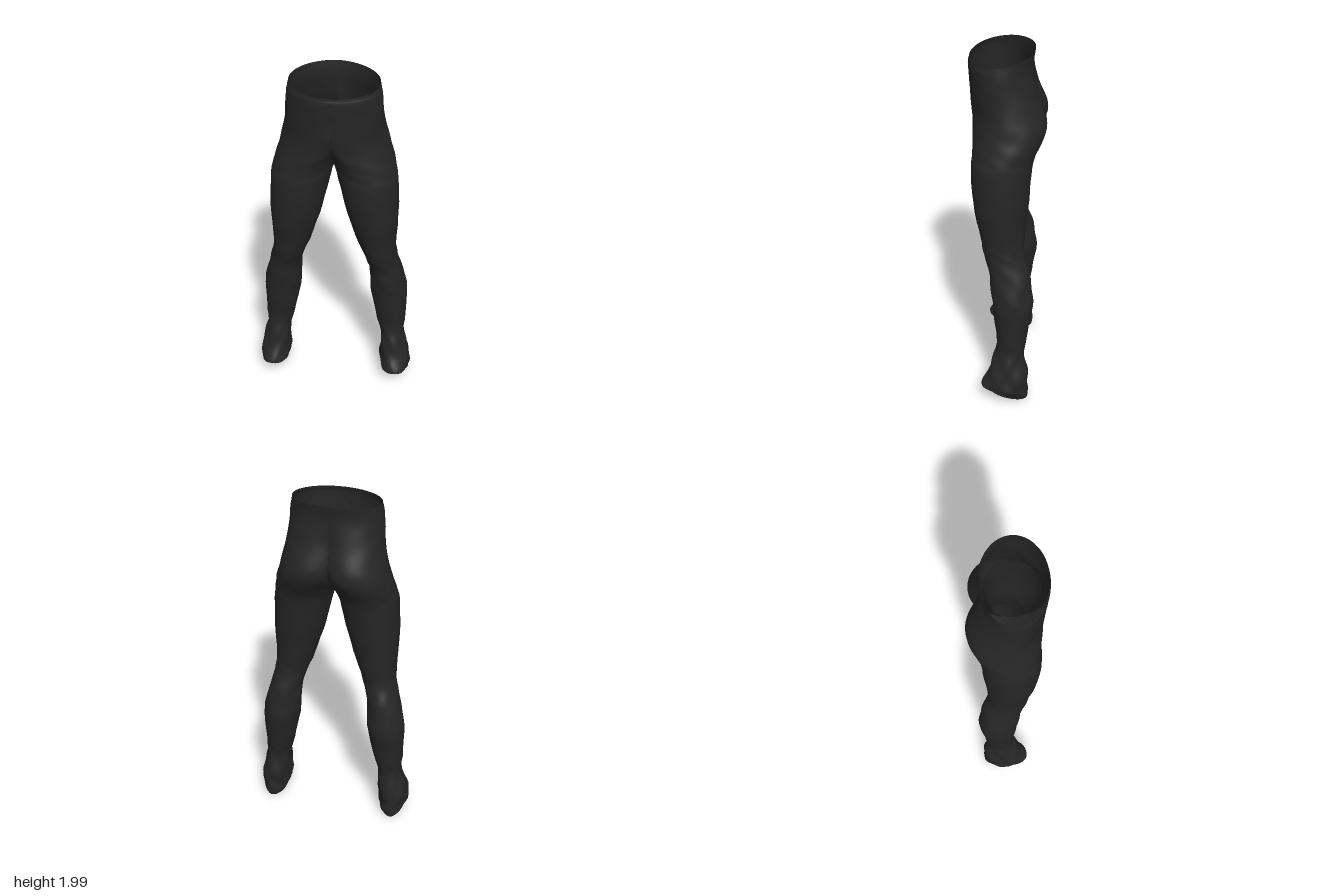
import * as THREE from 'three';
import { mergeGeometries, mergeVertices } from 'three/addons/utils/BufferGeometryUtils.js';

// Cross-sections of one half, waist to sole: [y, outer x, inner x, front z, back z]
// An inner x below zero means the two halves fuse at the middle plane.
const SECTIONS = [
  [2.00, 0.238, -0.24, 0.205, -0.143],
  [1.92, 0.248, -0.22, 0.210, -0.135],
  [1.80, 0.258, -0.11, 0.205, -0.152],
  [1.70, 0.272, -0.08, 0.196, -0.190],
  [1.64, 0.287, -0.07, 0.190, -0.206],
  [1.58, 0.302, -0.05, 0.186, -0.204],
  [1.52, 0.320, -0.02, 0.181, -0.180],
  [1.46, 0.334, 0.006, 0.184, -0.150],
  [1.40, 0.345, 0.022, 0.190, -0.136],
  [1.20, 0.353, 0.068, 0.179, -0.120],
  [1.00, 0.345, 0.128, 0.140, -0.100],
  [0.90, 0.351, 0.165, 0.118, -0.103],
  [0.80, 0.375, 0.194, 0.092, -0.130],
  [0.70, 0.400, 0.200, 0.080, -0.146],
  [0.60, 0.415, 0.206, 0.070, -0.150],
  [0.40, 0.410, 0.246, 0.050, -0.118],
  [0.32, 0.406, 0.268, 0.054, -0.110],
  [0.25, 0.420, 0.274, 0.078, -0.114],
  [0.17, 0.440, 0.270, 0.102, -0.128],
  [0.10, 0.448, 0.276, 0.132, -0.130],
  [0.04, 0.440, 0.286, 0.118, -0.130],
  [0.007, 0.428, 0.296, 0.095, -0.115],
];
const COLS = 72;
const SUB = 4;
const { smoothstep, clamp } = THREE.MathUtils;

// Smooth interpolation between neighbouring sections
function sectionAt(u) {
  const last = SECTIONS.length - 1;
  const i = Math.min(Math.floor(u), last - 1);
  const t = u - i;
  const [p, a, b, n] = [i - 1, i, i + 1, i + 2].map((k) => SECTIONS[clamp(k, 0, last)]);
  return a.map((v, k) => v + 0.5 * t * (b[k] - p[k] +
    t * (2 * p[k] - 5 * v + 4 * b[k] - n[k] + t * (3 * (v - b[k]) + n[k] - p[k]))));
}

// Cloth wrinkles: faint on the thigh, stronger around the ankle and foot
function wrinkle(y, t) {
  const amount = y < 0.32 ? 0.006 : y < 1 ? 0.003 : 0.0018;
  return amount * (Math.sin(31 * y + 3 * t + 1.5 * Math.sin(2 * t)) * 0.6 +
    Math.sin(57 * y - 5 * t + 2 * Math.sin(13 * y)) * 0.4);
}

function halfGeometry(side) {
  const pos = [];
  const index = [];
  const rows = (SECTIONS.length - 1) * SUB;
  for (let r = 0; r <= rows; r++) {
    const [y0, xo, xi, zf, zb] = sectionAt(r / SUB);
    const zc = (zf + zb) / 2;
    const depth = (zf - zb) / 2;
    // The belly is one round shape, the seat is two
    const backX = (xo + xi) / 2;
    const frontX = backX * (1 - smoothstep(y0, 1.48, 1.75));
    // Waist dips and toe lifts towards the front
    const rise = 0.065 * (1 - smoothstep(y0, 0, 0.12)) - 0.045 * smoothstep(y0, 1.92, 2);
    for (let c = 0; c < COLS; c++) {
      const t = (c / COLS) * Math.PI * 2;
      const cos = Math.cos(t);
      const sin = Math.sin(t);
      const cx = sin >= 0 ? frontX : backX;
      const w = r > 2 && r < rows ? wrinkle(y0, t) : 0;
      let x = cx + cos * ((cos > 0 ? xo - cx : cx - xi) + w);
      let z = zc + sin * (depth + w);
      const y = y0 + rise * Math.pow((1 + sin) / 2, 0.75);
      if (x < 1e-4) x = 0;
      // Short centre seam at the front
      if (x === 0 && z > 0.1 && y > 1.67 && y < 1.83) z -= 0.008;
      pos.push(side * x, y, z);
    }
  }
  // Skip faces lying on the middle plane, so the hips stay hollow
  const tri = (a, b, c) => {
    if ([a, b, c].every((i) => Math.abs(pos[i * 3]) < 1e-6)) return;
    if (side > 0) index.push(a, b, c);
    else index.push(a, c, b);
  };
  for (let r = 0; r < rows; r++) {
    for (let c = 0; c < COLS; c++) {
      const a = r * COLS + c;
      const b = r * COLS + ((c + 1) % COLS);
      tri(a, b, a + COLS);
      tri(b, b + COLS, a + COLS);
    }
  }
  // Sole
  const centre = pos.length / 3;
  pos.push(side * 0.362, 0.035, -0.01);
  for (let c = 0; c < COLS; c++) {
    tri(rows * COLS + c, rows * COLS + ((c + 1) % COLS), centre);
  }
  const g = new THREE.BufferGeometry();
  g.setAttribute('position', new THREE.Float32BufferAttribute(pos, 3));
  g.setIndex(index);
  return g;
}

export function createModel() {
  const group = new THREE.Group();
  group.name = 'leggings';
  const cloth = new THREE.MeshStandardMaterial({ color: 0x262626, side: THREE.DoubleSide });
  cloth.name = 'black cloth';

  // Both halves welded along the middle so shading runs across the hips
  const geometry = mergeVertices(mergeGeometries([halfGeometry(1), halfGeometry(-1)]), 1e-5);
  geometry.computeVertexNormals();
  const mesh = new THREE.Mesh(geometry, cloth);
  mesh.name = 'hipsAndLegs';
  group.add(mesh);
  return group;
}
